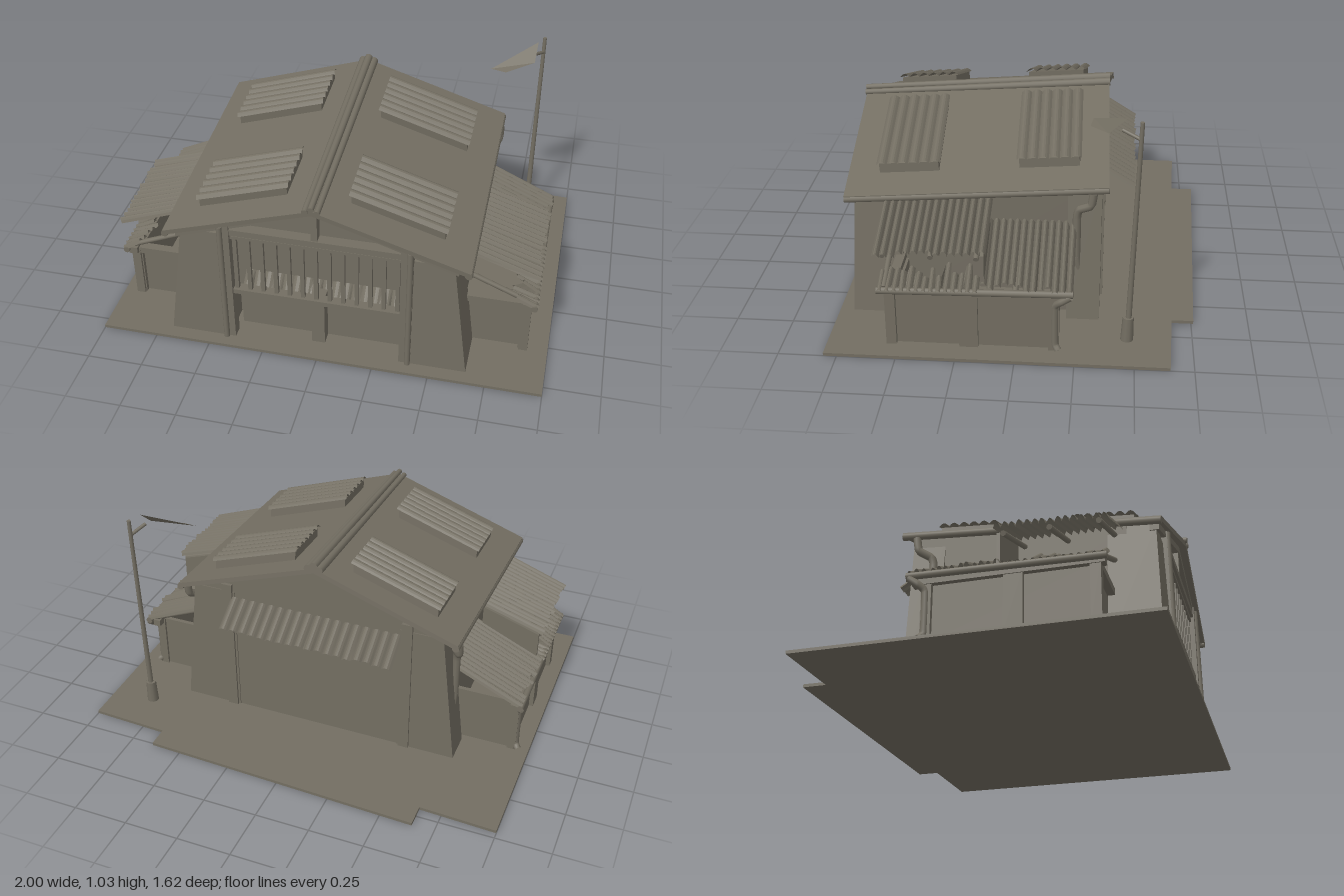
import * as THREE from 'three';

const material = new THREE.MeshStandardMaterial({ color: 0x736e62, side: THREE.DoubleSide });
material.name = 'weathered grey';

let seed = 7;
const rand = () => ((seed = (seed * 16807) % 2147483647) / 2147483647);
const V = (x, y, z) => new THREE.Vector3(x, y, z);
const TILT = 0.075; // the main roof drops towards the front

function add(parent, name, geometry) {
  const mesh = new THREE.Mesh(geometry, material);
  mesh.name = name;
  parent.add(mesh);
  return mesh;
}

function box(parent, name, x0, x1, y0, y1, z0, z1) {
  const g = new THREE.BoxGeometry(Math.abs(x1 - x0), y1 - y0, Math.abs(z1 - z0));
  g.translate((x0 + x1) / 2, (y0 + y1) / 2, (z0 + z1) / 2);
  return add(parent, name, g);
}

// Straight round rod between two points
function rod(parent, name, a, b, r0, r1 = r0, sides = 10) {
  const d = b.clone().sub(a);
  const mesh = add(parent, name, new THREE.CylinderGeometry(r1, r0, d.length(), sides));
  mesh.position.copy(a).addScaledVector(d, 0.5);
  mesh.quaternion.setFromUnitVectors(V(0, 1, 0), d.normalize());
  return mesh;
}

// Bent pipe through a few points
function pipe(parent, name, points, r) {
  const curve = new THREE.CatmullRomCurve3(points, false, 'catmullrom', 0.2);
  return add(parent, name, new THREE.TubeGeometry(curve, 28, r, 8));
}

// Corrugated sheet: a-b is the straight edge, c-d the edge that may be ragged
function sheet(parent, name, a, b, c, d, ribs, amp, ragged) {
  const g = new THREE.PlaneGeometry(1, 1, ribs * 6, 4);
  const n = b.clone().sub(a).cross(c.clone().sub(a)).normalize();
  if (n.y < 0) n.negate();
  const p = g.attributes.position;
  const ends = [], lifts = [];
  for (let i = 0; i <= ribs; i++) {
    ends.push(1 - rand() * ragged);
    lifts.push((rand() - 0.5) * ragged * 0.1);
  }
  for (let i = 0; i < p.count; i++) {
    const u = p.getX(i) + 0.5;
    const rib = Math.floor(u * ribs);
    const v = (0.5 - p.getY(i)) * ends[rib];
    const q = a.clone().lerp(b, u).lerp(c.clone().lerp(d, u), v);
    q.addScaledVector(n, amp * Math.abs(Math.sin(u * ribs * Math.PI)) + lifts[rib] * v);
    p.setXYZ(i, q.x, q.y, q.z);
  }
  const flat = g.toNonIndexed();
  flat.computeVertexNormals();
  return add(parent, name, flat);
}

// Extruded outline in the x-y plane
function slab(parent, name, points, z0, z1) {
  const shape = new THREE.Shape(points.map(([x, y]) => new THREE.Vector2(x, y)));
  const g = new THREE.ExtrudeGeometry(shape, { depth: z1 - z0, bevelEnabled: false });
  return add(parent, name, g.translate(0, 0, z0));
}

// Wall block whose outer face leans inwards and whose top follows the roof
function leaningBlock(parent, name, s, z0, z1, flare, xInner, xLow, xHigh) {
  const g = new THREE.BoxGeometry(1, 1, 1);
  const p = g.attributes.position;
  for (let i = 0; i < p.count; i++) {
    const low = p.getY(i) < 0;
    const outer = p.getX(i) * s > 0;
    const front = p.getZ(i) > 0;
    const z = front ? z1 : z0;
    p.setXYZ(i, s * (outer ? (low ? xLow : xHigh) : xInner),
      low ? 0.01 : 0.635 - TILT * z, low && front ? z + flare : z);
  }
  g.computeVertexNormals();
  add(parent, name, g);
}

function addRoof(building) {
  const roof = new THREE.Group();
  roof.name = 'mainRoof';
  roof.rotation.x = TILT;
  roof.position.z = -0.058;
  building.add(roof);
  const roofY = (x) => 0.864 - 0.336 * x;
  const edge = 0.672, eave = roofY(edge), t = 0.023;
  slab(roof, 'roofSlopes', [[-edge, eave], [0, 0.864], [edge, eave], [edge, eave - t], [0, 0.864 - t], [-edge, eave - t]], -0.365, 0.77);
  // Ridge cap of three rolls
  for (const x of [-0.026, 0, 0.026]) {
    const y = x ? 0.86 : 0.875;
    rod(roof, 'ridgeRoll', V(x, y, 0.775), V(x, y, -0.368), 0.013, 0.019);
  }
  for (const s of [-1, 1]) {
    rod(roof, 'gutter', V(s * 0.662, 0.622, 0.77), V(s * 0.662, 0.622, -0.365), 0.016);
    // Raised corrugated panels
    for (const [z0, z1] of [[-0.25, 0.03], [0.36, 0.64]]) {
      const at = (x, z) => V(s * x, roofY(x) + 0.045, z);
      sheet(roof, 'roofPanel', at(0.13, z0), at(0.13, z1), at(0.55, z0), at(0.55, z1), 6, 0.016, 0);
      slab(roof, 'panelCurb', [[0.14, 0.043], [0.54, 0.043], [0.54, 0], [0.14, 0]].map(([x, h]) => [s * x, roofY(x) + h]), z0 + 0.01, z1 - 0.01);
    }
  }
}

function addBody(building) {
  for (const s of [-1, 1]) {
    leaningBlock(building, 'cornerPier', s, 0.52, 0.725, 0.02, 0.4, 0.675, 0.6);
    leaningBlock(building, 'cornerPier', s, -0.345, -0.2, 0, 0.4, 0.675, 0.6);
    leaningBlock(building, 'sideWall', s, -0.33, 0.6, 0, 0.56, 0.605, 0.605);
    // Posts beside the openings
    box(building, 'frontPost', s * 0.375, s * 0.428, 0.01, 0.645, 0.69, 0.745);
    rod(building, 'frontPipe', V(s * 0.415, 0.01, 0.75), V(s * 0.415, 0.635, 0.745), 0.013);
    box(building, 'backPost', s * 0.41, s * 0.46, 0.01, 0.7, -0.355, -0.32);
    // Rafter along the front gable
    slab(building, 'gableRafter', [[0, 0.79], [s * 0.62, 0.582], [s * 0.62, 0.545], [0, 0.752]], 0.7, 0.74);
    box(building, 'lowDoor', s * 0.03, s * 0.37, 0.01, 0.21, 0.62, 0.64);
  }
  slab(building, 'frontGable', [[-0.6, 0.575], [0, 0.785], [0.6, 0.575]], 0.66, 0.69);
  slab(building, 'backWall', [[-0.6, 0.01], [0.6, 0.01], [0.6, 0.655], [0, 0.86], [-0.6, 0.655]], -0.34, -0.31);
  box(building, 'frontBeam', -0.4, 0.4, 0.59, 0.62, 0.69, 0.74);
  box(building, 'kingPost', -0.014, 0.014, 0.6, 0.785, 0.69, 0.735);
  box(building, 'innerWall', -0.4, 0.4, 0.01, 0.6, 0.55, 0.57);
  box(building, 'doorPost', -0.03, 0.03, 0.01, 0.27, 0.63, 0.7);
  // Barred screen above the doors
  box(building, 'screenRail', -0.38, 0.38, 0.262, 0.285, 0.69, 0.735);
  box(building, 'screenRail', -0.38, 0.38, 0.565, 0.58, 0.7, 0.73);
  for (let i = 0; i < 13; i++) {
    const x = -0.36 + i * 0.06;
    box(building, 'screenBar', x - 0.009, x + 0.009, 0.27, 0.59, 0.705, 0.722);
  }
  sheet(building, 'innerAwning', V(-0.36, 0.28, 0.58), V(0.36, 0.28, 0.58), V(-0.36, 0.205, 0.66), V(0.36, 0.205, 0.66), 16, 0.012, 0.2);
  // Awning over the back opening
  sheet(building, 'backAwning', V(-0.41, 0.625, -0.34), V(0.42, 0.625, -0.34), V(-0.41, 0.535, -0.485), V(0.42, 0.535, -0.485), 18, 0.02, 0.06);
}

function addAnnex(building, s) {
  const annex = new THREE.Group();
  annex.name = s > 0 ? 'leftAnnex' : 'rightAnnex';
  building.add(annex);
  const P = (x, y, z) => V(s * x, y, z);
  box(annex, 'annexWall', s * 0.88, s * 0.905, 0.01, 0.28, -0.17, 0.54);
  box(annex, 'annexFront', s * 0.6, s * 0.9, 0.01, 0.25, 0.5, 0.52);
  box(annex, 'annexBack', s * 0.6, s * 0.9, 0.01, 0.28, -0.17, -0.15);
  box(annex, 'annexBeam', s * 0.6, s * 0.92, 0.255, 0.285, 0.51, 0.55);
  box(annex, 'eaveBeam', s * 0.89, s * 0.93, 0.262, 0.295, -0.22, 0.57);
  for (const [z, half] of [[0.53, 0.022], [0.2, 0.04], [-0.16, 0.022]])
    box(annex, 'annexPost', s * 0.885, s * 0.925, 0.01, 0.28, z - half, z + half);
  // Overlapping corrugated roofs, the front lower one broken away above the eave
  sheet(annex, 'lowerRoof', P(0.61, 0.455, -0.24), P(0.61, 0.455, 0.15), P(0.948, 0.3, -0.24), P(0.948, 0.3, 0.15), 13, 0.022, 0.1);
  sheet(annex, 'brokenRoof', P(0.948, 0.29, 0.15), P(0.948, 0.28, 0.58), P(0.79, 0.365, 0.15), P(0.79, 0.355, 0.58), 14, 0.02, 0.6);
  sheet(annex, 'upperRoof', P(0.63, 0.57, 0.12), P(0.63, 0.56, 0.59), P(0.948, 0.465, 0.12), P(0.948, 0.445, 0.59), 15, 0.024, 0.06);
  slab(annex, 'stepWall', [[0.65, 0.435], [0.65, 0.545], [0.92, 0.455], [0.92, 0.315]].map(([x, y]) => [s * x, y]), 0.13, 0.145);
  for (const z of [0.16, 0.35, 0.55])
    rod(annex, 'upperRafter', P(0.6, 0.555, z), P(0.93, 0.445, z), 0.012);
  for (const z of [-0.2, 0.0, 0.55])
    rod(annex, 'lowerRafter', P(0.6, 0.435, z), P(0.93, 0.295, z), 0.012);
  // Gutters and drain pipes
  rod(annex, 'annexGutter', P(0.938, 0.285, 0.58), P(0.938, 0.3, -0.24), 0.015);
  pipe(annex, 'annexDrain', [P(0.94, 0.29, -0.23), P(0.935, 0.26, -0.19), P(0.92, 0.23, -0.165), P(0.92, 0.05, -0.165), P(0.935, 0.025, -0.18)], 0.016);
  pipe(annex, 'roofDrain', [P(0.662, 0.63, -0.31), P(0.66, 0.57, -0.3), P(0.64, 0.54, -0.25), P(0.635, 0.5, -0.24), P(0.635, 0.3, -0.24)], 0.018);
  rod(annex, 'brokenDrain', P(0.635, 0.15, -0.265), P(0.635, 0.31, -0.24), 0.005, 0.018);
}

function addLamp(root) {
  const lamp = new THREE.Group();
  lamp.name = 'lampPost';
  root.add(lamp);
  rod(lamp, 'pole', V(0.8, 0.01, -0.47), V(0.805, 1.03, -0.497), 0.013, 0.009);
  rod(lamp, 'poleBase', V(0.8, 0.01, -0.468), V(0.8, 0.125, -0.471), 0.028, 0.024);
  rod(lamp, 'arm', V(0.805, 0.955, -0.495), V(0.77, 0.98, -0.42), 0.008);
  // Bent sheet shade
  const g = new THREE.BufferGeometry();
  g.setAttribute('position', new THREE.Float32BufferAttribute([
    0.58, 0.945, -0.3, 0.65, 0.94, -0.29, 0.775, 0.965, -0.365,
    0.58, 0.945, -0.3, 0.775, 0.965, -0.365, 0.78, 1.035, -0.44], 3));
  g.computeVertexNormals();
  add(lamp, 'shade', g);
}

export function createModel() {
  const root = new THREE.Group();
  root.name = 'shed';
  // Ground slab with a stepped back edge
  const outline = [[-1, -0.807], [1, -0.807], [1, 0.65], [0.64, 0.665], [0.64, 0.76], [-0.65, 0.81], [-0.65, 0.705], [-1, 0.72]];
  slab(root, 'groundSlab', outline, 0, 0.014).rotation.x = -Math.PI / 2;

  const building = new THREE.Group();
  building.name = 'building';
  building.position.x = -0.015;
  root.add(building);
  addBody(building);
  addRoof(building);
  addAnnex(building, 1);
  addAnnex(building, -1);
  addLamp(root);
  return root;
}
